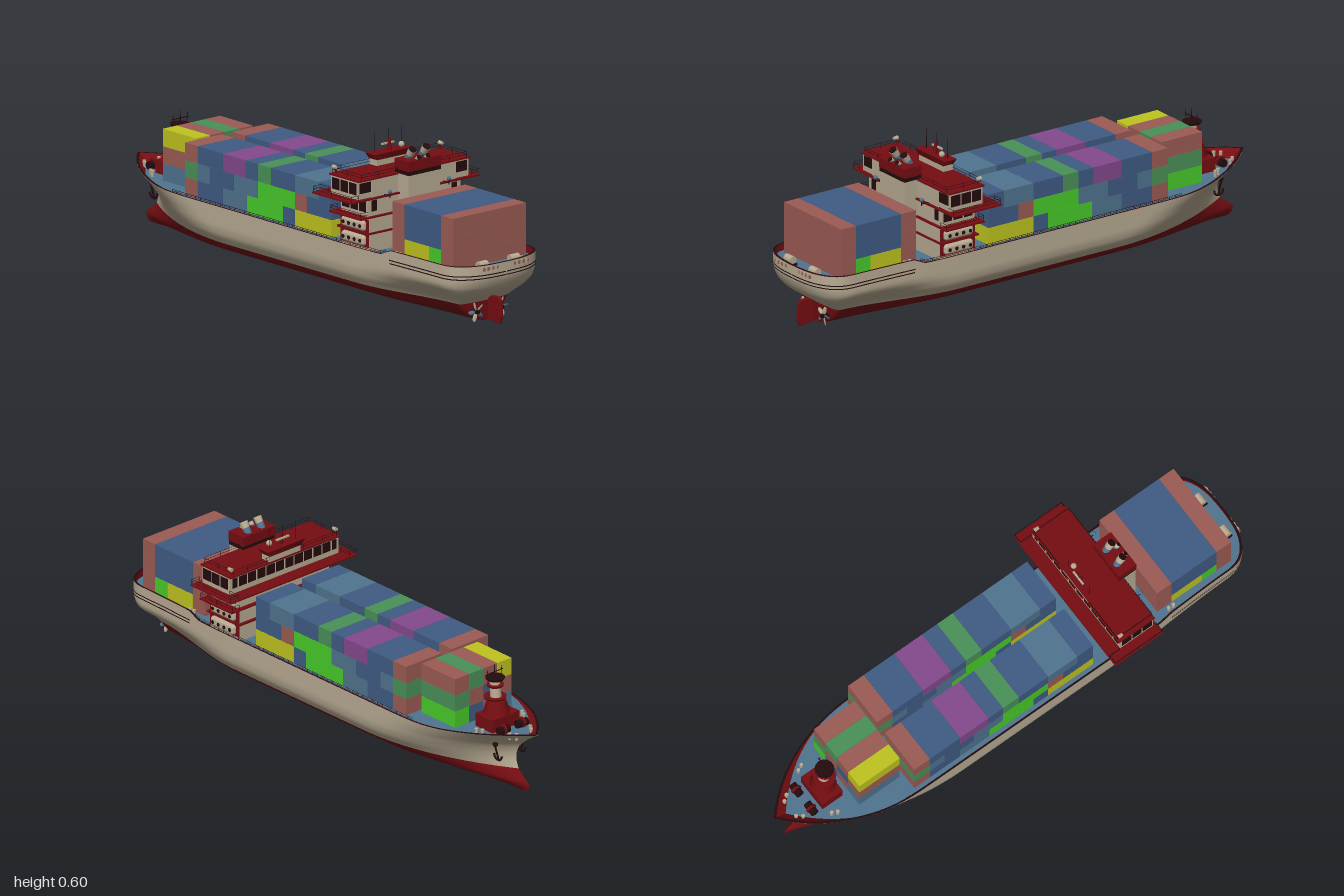
import * as THREE from 'three';
import { RoundedBoxGeometry } from 'three/addons/geometries/RoundedBoxGeometry.js';

const mat = (name, color, side = THREE.FrontSide) => Object.assign(new THREE.MeshStandardMaterial({ color, side }), { name });
const M = {
  cream: mat('cream paint', 0xb8ab93, THREE.DoubleSide),
  red: mat('dark red paint', 0x750d12, THREE.DoubleSide),
  dark: mat('near black', 0x240b0d, THREE.DoubleSide),
  deck: mat('deck blue', 0x50748f),
  blue: mat('container blue', 0x405c84),
  salmon: mat('container salmon', 0x9c5b54),
  purple: mat('container purple', 0x84498c),
  green: mat('container green', 0x4a9158),
  lime: mat('container lime', 0x48cc2a),
  yellow: mat('container yellow', 0xbfc41f),
};

const lerp = THREE.MathUtils.lerp, smooth = THREE.MathUtils.smoothstep;
const table = (t, y) => {
  let i = 0;
  while (i < t.length - 2 && y > t[i + 1][0]) i++;
  return lerp(t[i][1], t[i + 1][1], THREE.MathUtils.clamp((y - t[i][0]) / (t[i + 1][0] - t[i][0]), 0, 1));
};

// hull lines by height: half breadth, stem and stern profiles
const breadth = [[0, 0], [0.006, 0.05], [0.015, 0.09], [0.035, 0.14], [0.055, 0.17], [0.077, 0.193], [0.11, 0.214], [0.14, 0.22], [0.26, 0.22]];
const stem = [[0, -0.93], [0.015, -0.947], [0.032, -0.95], [0.05, -0.925], [0.077, -0.892], [0.11, -0.88], [0.14, -0.882], [0.17, -0.897], [0.2, -0.93], [0.225, -0.965], [0.245, -1]];
const stern = [[0, 0.885], [0.077, 0.892], [0.1, 0.925], [0.125, 0.962], [0.15, 0.985], [0.18, 0.997], [0.2, 1], [0.25, 1]];
const sheer = x => 0.218 + 0.025 * smooth(-x, 0.6, 1) + 0.022 * smooth(x, 0.56, 0.63);

function hullPoint(s, y, out = 0) {
  const xb = table(stem, y), xs = table(stern, y), x = lerp(xb, xs, s);
  const k = smooth(y, 0.04, 0.22), j = smooth(y, 0.077, 0.17);
  const u = Math.min(1, (x - xb) / lerp(0.62, 0.5, k)), bow = 1 - (1 - u) ** lerp(1.9, 2.7, k);
  const w = Math.min(1, (xs - x) / lerp(0.02, 0.13, j)), end = Math.max(0, 1 - (1 - w) ** 2.6) ** (1 / 2.6);
  const taper = 1 - lerp(0.4, 0.06, j) * smooth(x, 0.4, 0.9);
  return new THREE.Vector3(x + out * (s > 0.99 ? 1 : 0), y, Math.max(0, table(breadth, y) * bow * end * taper) + out);
}
const topPoint = (s, out = 0) => hullPoint(s, sheer(hullPoint(s, 0.22).x), out);

// surface from fn(u, v), facing du x dv
function grid(fn, nu, nv, flip = false) {
  const pos = [], idx = [];
  for (let v = 0; v <= nv; v++) for (let u = 0; u <= nu; u++) pos.push(...fn(u / nu, v / nv).toArray());
  for (let v = 0; v < nv; v++) for (let u = 0; u < nu; u++) {
    const a = v * (nu + 1) + u, b = a + 1, c = a + nu + 1, d = c + 1;
    idx.push(...(flip ? [a, c, b, b, c, d] : [a, b, c, b, d, c]));
  }
  const g = new THREE.BufferGeometry();
  g.setAttribute('position', new THREE.Float32BufferAttribute(pos, 3));
  g.setIndex(idx);
  g.computeVertexNormals();
  return g;
}

export function createModel() {
  const ship = new THREE.Group();
  ship.name = 'containerShip';
  const add = (name, geo, m, x = 0, y = 0, z = 0) => {
    const mesh = new THREE.Mesh(geo, m);
    mesh.name = name;
    mesh.position.set(x, y, z);
    ship.add(mesh);
    return mesh;
  };
  // box given by its extents
  const box = (name, m, x0, x1, y0, y1, z0, z1) =>
    add(name, new THREE.BoxGeometry(x1 - x0, y1 - y0, z1 - z0), m, (x0 + x1) / 2, (y0 + y1) / 2, (z0 + z1) / 2);
  const rod = (name, m, a, b, r0, r1 = r0, sides = 6) => {
    const A = new THREE.Vector3(...a), B = new THREE.Vector3(...b), dir = B.clone().sub(A);
    const mesh = add(name, new THREE.CylinderGeometry(r1, r0, dir.length(), sides), m);
    mesh.position.copy(A).add(B).multiplyScalar(0.5);
    mesh.quaternion.setFromUnitVectors(new THREE.Vector3(0, 1, 0), dir.normalize());
    return mesh;
  };
  const rail = (pts, h = 0.02) => pts.forEach((p, i) => {
    rod('railPost', M.dark, p, [p[0], p[1] + h, p[2]], 0.0009, 0.0009, 4);
    if (!i) return;
    const q = pts[i - 1];
    for (const k of [0.5, 1]) rod('railBar', M.dark, [q[0], q[1] + h * k, q[2]], [p[0], p[1] + h * k, p[2]], 0.0008, 0.0008, 4);
  });
  const both = fn => [1, -1].forEach(fn);

  // hull, bulwark and deck
  const along = u => 0.5 - 0.5 * Math.cos(Math.PI * u);
  const flipZ = (p, side) => p.setZ(p.z * side);
  both(side => {
    const skin = (name, m, fn, nv) => add(name, grid((u, v) => flipZ(fn(along(u), v), side), 90, nv, side < 0), m);
    skin('lowerHull', M.red, (s, v) => hullPoint(s, 0.077 * v ** 1.5), 10);
    skin('upperHull', M.cream, (s, v) => hullPoint(s, lerp(0.077, topPoint(s).y, v)), 14);
    skin('bulwarkLining', M.red, (s, v) => {
      const p = hullPoint(s, lerp(0.212, topPoint(s).y, v));
      return p.set(p.x * 0.996, p.y, Math.max(0, p.z - 0.003));
    }, 1);
    skin('bulwarkCap', M.dark, (s, v) => {
      const p = topPoint(s);
      return p.set(p.x * lerp(1, 0.992, v), p.y + 0.001, Math.max(0, p.z - 0.006 * v));
    }, 1);
    // fender stripes around the stern
    for (const y of [0.191, 0.203]) skin('sternStripe', M.dark, (s, v) => hullPoint(lerp(0.8, 1, s), y + 0.004 * v, 0.0015), 1);
    // deck-edge railing
    const pts = [];
    for (let i = 0; i <= 44; i++) pts.push(flipZ(topPoint(lerp(0.2, 0.79, i / 44), -0.003), side).toArray());
    rail(pts, 0.012);
    // anchor on the bow
    const a = hullPoint(0.028, 0.155, 0.004), z = a.z * side;
    rod('anchorShank', M.dark, [-0.845, 0.175, z + 0.018 * side], [-0.845, 0.112, z], 0.004);
    const fluke = add('anchorFlukes', new THREE.TorusGeometry(0.02, 0.004, 6, 12, Math.PI), M.dark, -0.845, 0.132, z + 0.003 * side);
    fluke.rotation.z = Math.PI;
    add('hawsePipe', new THREE.SphereGeometry(0.01, 10, 8), M.dark, -0.845, 0.178, z + 0.016 * side);
  });
  add('mainDeck', grid((u, v) => {
    const p = hullPoint(along(u), 0.212);
    return p.setZ(p.z * (1 - 2 * v));
  }, 80, 2), M.deck);

  // rudder and twin propellers
  const rud = new THREE.Shape([[0.905, 0.012], [0.968, 0.005], [0.976, 0.03], [0.974, 0.09], [0.96, 0.1], [0.908, 0.1]].map(p => new THREE.Vector2(...p)));
  add('rudder', new THREE.ExtrudeGeometry(rud, { depth: 0.008, bevelEnabled: true, bevelSize: 0.002, bevelThickness: 0.002, bevelSegments: 1 }), M.red, 0, 0, -0.004);
  both(side => {
    const z = 0.058 * side, y = 0.045;
    rod('propellerShaft', M.dark, [0.86, y, z], [0.915, y, z], 0.01, 0.008, 12);
    for (let i = 0; i < 5; i++) {
      const t = i * Math.PI * 0.4 + 0.3;
      const blade = add('propellerBlade', new THREE.SphereGeometry(1, 10, 6), i % 2 ? M.deck : M.cream, 0.904, y + 0.021 * Math.cos(t), z + 0.021 * Math.sin(t) * side);
      blade.scale.set(0.003, 0.017, 0.008);
      blade.rotation.set(t * side, 0.5, 0, 'XYZ');
    }
  });

  // containers: [x0, x1, colour] per tier, bottom to top
  const tiers = [0.218, 0.282, 0.345, 0.41];
  const stack = (rows, z0, z1) => rows.forEach((row, t) => row.forEach(([x0, x1, c]) =>
    box('container', M[c], x0, x1 - 0.001, tiers[t], tiers[t + 1] - 0.0005, z0, z1)));
  const mainStack = [
    [[-0.515, -0.445, 'salmon'], [-0.445, -0.31, 'blue'], [-0.31, -0.18, 'deck'], [-0.18, 0.015, 'lime'], [0.015, 0.08, 'blue'], [0.08, 0.28, 'yellow']],
    [[-0.515, -0.445, 'green'], [-0.445, -0.38, 'deck'], [-0.38, -0.25, 'blue'], [-0.25, -0.12, 'deck'], [-0.12, 0.08, 'lime'], [0.08, 0.145, 'salmon'], [0.145, 0.28, 'blue']],
    [[-0.515, -0.445, 'salmon'], [-0.445, -0.31, 'blue'], [-0.31, -0.185, 'purple'], [-0.185, -0.12, 'blue'], [-0.12, -0.05, 'green'], [-0.05, 0.08, 'blue'], [0.08, 0.21, 'deck'], [0.21, 0.28, 'blue']],
  ];
  stack(mainStack, 0.022, 0.197);
  stack(mainStack, -0.2, -0.027);
  const aft = [[0.58, 0.645, 'salmon'], [0.645, 0.845, 'blue'], [0.845, 0.91, 'salmon']];
  stack([[[0.58, 0.645, 'salmon'], [0.645, 0.78, 'yellow'], [0.78, 0.845, 'lime'], [0.845, 0.91, 'salmon']], aft, aft], -0.173, 0.173);
  [['lime', 'green', 'salmon'], ['blue', 'salmon', 'green'], ['salmon', 'blue', 'salmon'], ['deck', 'salmon', 'yellow']]
    .forEach((col, i) => stack(col.map(c => [[-0.71, -0.53, c]]), -0.14 + i * 0.068, -0.073 + i * 0.068));

  // accommodation block
  box('lowerHouse', M.cream, 0.35, 0.505, 0.212, 0.34, -0.215, 0.215);
  box('upperHouse', M.cream, 0.355, 0.5, 0.34, 0.41, -0.22, 0.22);
  box('bridgeHouse', M.cream, 0.35, 0.495, 0.41, 0.478, -0.263, 0.263);
  box('promenadeDeck', M.red, 0.34, 0.51, 0.337, 0.343, -0.262, 0.262);
  box('midDeck', M.red, 0.34, 0.51, 0.277, 0.284, -0.226, 0.226);
  box('bridgeWingDeck', M.red, 0.297, 0.51, 0.405, 0.411, -0.306, 0.306);
  box('bridgeRoof', M.red, 0.343, 0.503, 0.476, 0.482, -0.265, 0.265);
  for (const x of [0.348, 0.495]) box('bridgeWindowBand', M.dark, x, x + 0.002, 0.432, 0.47, x < 0.4 ? -0.25 : -0.255, x < 0.4 ? 0.25 : 0.255);
  box('bridgeCentreWall', M.cream, 0.49, 0.5, 0.41, 0.478, -0.2, 0.2);
  for (let i = -5; i <= 5; i++) box('windowMullion', M.cream, 0.346, 0.349, 0.432, 0.47, i * 0.045 - 0.002, i * 0.045 + 0.002);
  both(side => {
    const slab = (name, m, x0, x1, y0, y1, z, t) => box(name, m, x0, x1, y0, y1, side * z - t / 2, side * z + t / 2);
    for (let i = 0; i < 3; i++) {
      slab('bridgeSideWindow', M.dark, 0.358 + i * 0.046, 0.398 + i * 0.046, 0.428, 0.47, 0.264, 0.002);
      slab('upperSideWindow', M.dark, 0.365 + i * 0.045, 0.402 + i * 0.045, 0.358, 0.398, 0.221, 0.002);
    }
    box('aftWindow', M.dark, 0.499, 0.502, 0.36, 0.4, side * 0.19 - 0.012, side * 0.19 + 0.012);
    // rounded side balconies with portholes
    for (const y of [0.252, 0.306]) {
      slab('balconyPanel', M.red, 0.352, 0.503, y - 0.024, y + 0.024, 0.216, 0.004);
      add('balcony', new RoundedBoxGeometry(0.125, 0.038, 0.03, 3, 0.012), M.cream, 0.428, y, side * 0.218);
      for (let i = 0; i < 4; i++) {
        const p = add('porthole', new THREE.CylinderGeometry(0.007, 0.007, 0.004, 12), M.dark, 0.383 + i * 0.03, y, side * 0.233);
        p.rotation.x = Math.PI / 2;
      }
    }
    // railings on the wings, promenade and roof
    const Z = v => v * side;
    rail([[0.345, 0.411, Z(0.268)], [0.3, 0.411, Z(0.268)], [0.3, 0.411, Z(0.303)], [0.4, 0.411, Z(0.303)], [0.507, 0.411, Z(0.303)], [0.507, 0.411, Z(0.268)]]);
    rail([[0.342, 0.343, Z(0.225)], [0.342, 0.343, Z(0.259)], [0.425, 0.343, Z(0.259)], [0.508, 0.343, Z(0.259)], [0.508, 0.343, Z(0.225)]]);
    rail([[0.346, 0.482, 0], [0.346, 0.482, Z(0.09)], [0.346, 0.482, Z(0.18)], [0.346, 0.482, Z(0.25)], [0.425, 0.482, Z(0.25)], [0.5, 0.482, Z(0.25)], [0.5, 0.482, Z(0.17)], [0.5, 0.482, Z(0.08)]]);
    // searchlights and deck lamps
    rod('searchlightPost', M.red, [0.36, 0.48, Z(0.247)], [0.36, 0.502, Z(0.247)], 0.003);
    rod('searchlight', M.cream, [0.35, 0.505, Z(0.252)], [0.368, 0.505, Z(0.252)], 0.008, 0.006, 12);
    rod('lampPost', M.dark, [0.53, 0.405, Z(0.14)], [0.53, 0.425, Z(0.14)], 0.002);
    rod('lampArm', M.dark, [0.5, 0.412, Z(0.14)], [0.53, 0.412, Z(0.14)], 0.002);
    add('lamp', new THREE.SphereGeometry(0.008, 12, 8), M.deck, 0.53, 0.428, Z(0.14));
  });

  // engine casing and exhaust stacks
  box('engineCasing', M.cream, 0.49, 0.557, 0.212, 0.49, -0.075, 0.075);
  box('casingBand', M.dark, 0.484, 0.559, 0.48, 0.495, -0.076, 0.076);
  box('casingTop', M.red, 0.482, 0.56, 0.495, 0.532, -0.077, 0.077);
  both(side => [[0.033, 0.5, 0.53, 0.565, 0.016], [0.021, 0.53, 0.552, 0.538, 0.01]].forEach(([z, x0, x1, y1, r]) => {
    const at = t => [lerp(x0, x1, t), lerp(0.52, y1, t), z * side];
    rod('stackBase', M.deck, at(-0.2), at(0.55), r * 0.8, r * 0.9, 16);
    rod('stackPipe', M.cream, at(0.55), at(1), r * 0.9, r, 16);
    rod('stackMouth', M.dark, at(0.99), at(1.05), r * 0.95, r * 0.95, 16);
  }));

  // radar platform and masts above the bridge
  box('radarHouse', M.cream, 0.345, 0.385, 0.482, 0.506, -0.075, 0.075);
  const flare = add('radarPlatform', new THREE.CylinderGeometry(0.09, 0.075, 0.022, 4, 1).rotateY(Math.PI / 4), M.red, 0.365, 0.515, 0);
  flare.scale.set(0.42, 1, 1.42);
  for (const z of [-0.063, 0, 0.063]) rod('whipAntenna', M.dark, [0.36, 0.52, z], [0.36, 0.602, z], 0.0015, 0.0008);
  rod('radarMast', M.red, [0.37, 0.52, 0], [0.365, 0.57, 0], 0.009, 0.005, 10);
  box('radarScanner', M.cream, 0.355, 0.362, 0.547, 0.553, -0.03, 0.03);
  add('radome', new THREE.SphereGeometry(0.011, 14, 10), M.cream, 0.375, 0.54, -0.05);

  // foremast and bow gear
  box('foremastHouse', M.red, -0.825, -0.735, 0.212, 0.262, -0.065, 0.065);
  rod('foremastBase', M.red, [-0.775, 0.262, 0], [-0.775, 0.31, 0], 0.05, 0.034, 12);
  rod('foremast', M.cream, [-0.772, 0.31, 0], [-0.765, 0.385, 0], 0.022, 0.018, 14);
  for (const [y, r] of [[0.318, 0.042], [0.365, 0.032], [0.392, 0.036]]) add('mastPlatform', new THREE.CylinderGeometry(r, r * 0.9, 0.008, 14), y > 0.38 ? M.dark : M.red, -0.768, y, 0);
  rod('mastPole', M.dark, [-0.765, 0.39, 0], [-0.765, 0.445, 0], 0.003, 0.001);
  rod('mastYard', M.dark, [-0.765, 0.415, -0.04], [-0.765, 0.415, 0.04], 0.002);
  both(side => {
    rod('mastWhip', M.dark, [-0.765, 0.39, 0.03 * side], [-0.765, 0.43, 0.035 * side], 0.0012);
    rod('windlassDrum', M.dark, [-0.86, 0.232, 0.02 * side], [-0.86, 0.232, 0.068 * side], 0.015, 0.015, 14);
    add('windlassGear', new THREE.CylinderGeometry(0.02, 0.02, 0.008, 16).rotateX(Math.PI / 2), M.red, -0.86, 0.235, 0.045 * side);
    for (const [x, z] of [[-0.92, 0.035], [-0.9, 0.05], [-0.81, 0.1], [-0.79, 0.11], [0.9, 0.16], [0.88, 0.165], [0.62, 0.19], [0.64, 0.19]])
      rod('bollard', M.cream, [x, 0.21, z * side], [x, 0.235, z * side], 0.006, 0.007, 10);
    // stern mooring ports and winches
    box('mooringPort', M.salmon, 0.996, 1.0, 0.221, 0.233, side * 0.072 - 0.035, side * 0.072 + 0.035);
    for (const dz of [-0.022, 0, 0.022]) box('mooringRoller', M.cream, 0.997, 1.001, 0.22, 0.235, side * 0.072 + dz - 0.005, side * 0.072 + dz + 0.005);
    rod('sternWinch', M.cream, [0.955, 0.232, 0.055 * side], [0.955, 0.232, 0.095 * side], 0.015, 0.015, 14);
    box('winchBed', M.dark, 0.94, 0.97, 0.212, 0.22, side * 0.075 - 0.025, side * 0.075 + 0.025);
  });
  return ship;
}
